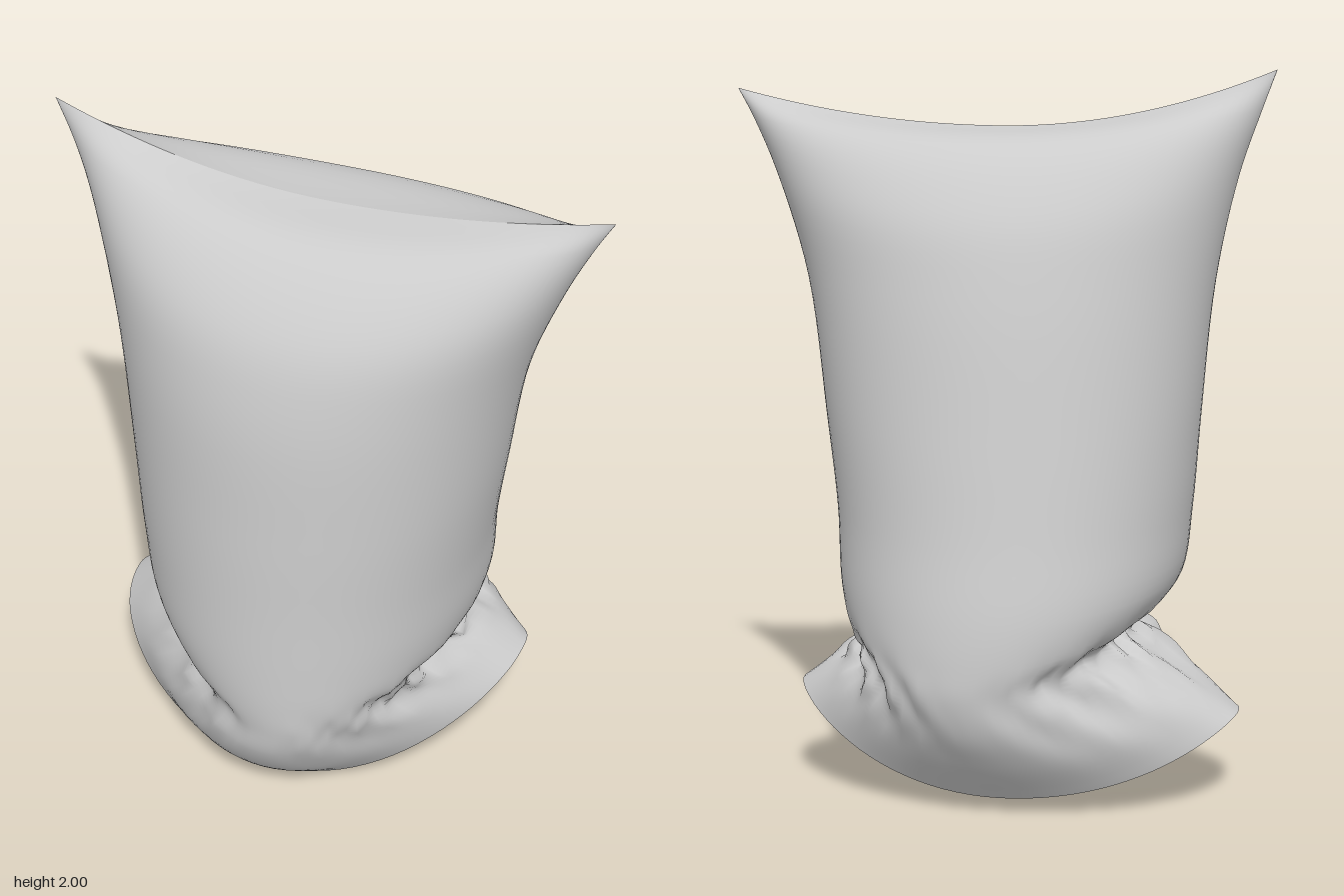
import * as THREE from 'three';

// Cross-sections from the sealed top seam to the open rim.
// x and y of the two sides, z and y of front and back middles, z of the sides, roundness (1 = ellipse, more = lens)
const SECTIONS = [
  { x: [-0.77, 0.77], ys: [2.0, 1.94], z: [0.11, 0.11], ym: 1.84, zs: 0.115, p: 1.6 },
  { x: [-0.73, 0.725], ys: [1.89, 1.86], z: [0.29, -0.13], ym: 1.8, zs: 0.11, p: 1.45 },
  { x: [-0.67, 0.645], ys: [1.71, 1.69], z: [0.46, -0.29], ym: 1.62, zs: 0.1, p: 1.25 },
  { x: [-0.61, 0.55], ys: [1.42, 1.42], z: [0.53, -0.37], ym: 1.4, zs: 0.08, p: 1.08 },
  { x: [-0.575, 0.485], ys: [1.04, 1.04], z: [0.56, -0.455], ym: 1.02, zs: 0.05, p: 1 },
  { x: [-0.555, 0.445], ys: [0.78, 0.78], z: [0.57, -0.51], ym: 0.75, zs: 0.03, p: 0.97 },
  { x: [-0.53, 0.425], ys: [0.6, 0.58], z: [0.577, -0.555], ym: 0.55, zs: 0, p: 0.95 },
  { x: [-0.47, 0.395], ys: [0.52, 0.49], z: [0.577, -0.57], ym: 0.43, zs: -0.02, p: 0.93 },
  { x: [-0.39, 0.35], ys: [0.47, 0.45], z: [0.57, -0.57], ym: 0.34, zs: -0.05, p: 0.9 },
  { x: [-0.46, 0.36], ys: [0.42, 0.41], z: [0.55, -0.545], ym: 0.24, zs: -0.08, p: 0.88 },
  { x: [-0.59, 0.43], ys: [0.33, 0.36], z: [0.47, -0.49], ym: 0.11, zs: -0.1, p: 0.88 },
  { x: [-0.71, 0.53], ys: [0.24, 0.285], z: [0.35, -0.4], ym: 0, zs: -0.11, p: 0.95 },
];
const AROUND = 96;
const DOWN = 66;

// Point of one cross-section at an angle round the sack
function sectionPoint(sec, a) {
  const c = Math.cos(a), s = Math.sin(a);
  const side = c < 0 ? 0 : 1;
  const mid = (sec.x[0] + sec.x[1]) / 2;
  const half = (sec.x[1] - sec.x[0]) / 2;
  const zEnd = s > 0 ? sec.z[0] : sec.z[1];
  const w = c * c;
  const ym = sec.ym + (s < 0 && sec.ym < 0.12 ? 0.04 * s * s : 0);
  return new THREE.Vector3(
    mid + half * c,
    ym + (sec.ys[side] - ym) * w,
    sec.zs + (zEnd - sec.zs) * Math.pow(Math.abs(s), sec.p)
  );
}

// Gathered folds where the sides are pinched in above the rim
function crumple(p, a, t) {
  const band = Math.exp(-Math.pow((t - 0.78) / 0.1, 2));
  const c = Math.cos(a);
  const amount = 0.022 * band * Math.pow(Math.abs(c), 1.5);
  const fold = Math.sin(a * 17 + t * 23) + 0.6 * Math.sin(a * 31 - t * 41);
  p.x += amount * fold * c;
  p.z += amount * fold * Math.sin(a);
  p.y += amount * 0.7 * Math.sin(a * 23 + 1.3);
  return p;
}

function sackGeometry() {
  const positions = [], index = [];
  for (let i = 0; i < AROUND; i++) {
    const a = (i / AROUND) * Math.PI * 2;
    const curve = new THREE.CatmullRomCurve3(SECTIONS.map((sec) => sectionPoint(sec, a)));
    for (let j = 0; j <= DOWN; j++) {
      const t = j / DOWN;
      const p = crumple(curve.getPoint(t), a, t);
      positions.push(p.x, p.y, p.z);
    }
  }
  const at = (i, j) => (i % AROUND) * (DOWN + 1) + j;
  for (let i = 0; i < AROUND; i++) {
    for (let j = 0; j < DOWN; j++) {
      index.push(at(i, j), at(i + 1, j), at(i, j + 1));
      index.push(at(i + 1, j), at(i + 1, j + 1), at(i, j + 1));
    }
  }
  const geometry = new THREE.BufferGeometry();
  geometry.setAttribute('position', new THREE.Float32BufferAttribute(positions, 3));
  geometry.setIndex(index);
  geometry.computeVertexNormals();
  return geometry;
}

export function createModel() {
  const group = new THREE.Group();
  group.name = 'sack';
  // Thin cloth, seen from inside through the open bottom
  const material = new THREE.MeshStandardMaterial({ color: 0xcccccc, side: THREE.DoubleSide });
  const cloth = new THREE.Mesh(sackGeometry(), material);
  cloth.name = 'cloth';
  group.add(cloth);
  return group;
}
